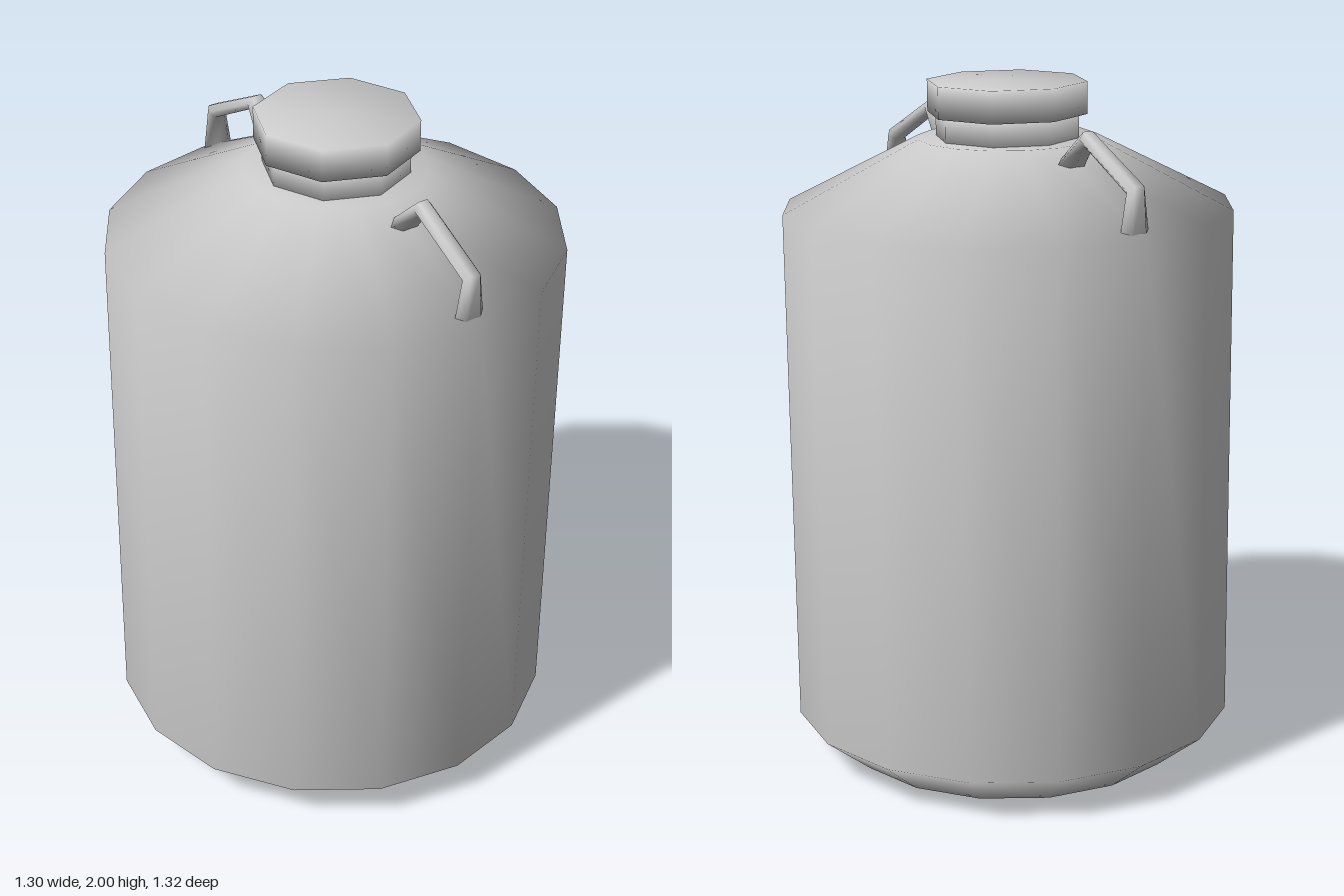
import * as THREE from 'three';

const material = new THREE.MeshStandardMaterial({ color: 0xcccccc });

// Turned part: closed profile of [radius, height] pairs, smooth normals
function turned(name, sides, profile) {
  const points = profile.map(([r, y]) => new THREE.Vector2(r, y));
  const mesh = new THREE.Mesh(new THREE.LatheGeometry(points, sides), material);
  mesh.name = name;
  return mesh;
}

// Bent handle: six-sided sections between an outer and an inner line, flared at both feet
function handleGeometry() {
  const stations = [
    // outer z, y   inner z, y   half width
    { out: [0.622, 1.635], inn: [0.578, 1.635], w: 0.05 },
    { out: [0.622, 1.782], inn: [0.587, 1.757], w: 0.03 },
    { out: [0.39, 1.9], inn: [0.395, 1.86], w: 0.03 },
    { out: [0.287, 1.805], inn: [0.333, 1.785], w: 0.05 },
  ];
  const sides = 6;
  const positions = [];
  const index = [];
  stations.forEach(({ out, inn, w }, i) => {
    for (let k = 0; k < sides; k++) {
      const angle = (k / sides) * Math.PI * 2;
      const t = 0.5 + 0.5 * Math.sin(angle) / Math.sin(Math.PI / 3);
      positions.push(
        w * Math.cos(angle),
        THREE.MathUtils.lerp(inn[1], out[1], t),
        THREE.MathUtils.lerp(inn[0], out[0], t),
      );
      if (i === stations.length - 1) continue;
      const a = i * sides + k;
      const b = i * sides + (k + 1) % sides;
      index.push(a, a + sides, b, b, a + sides, b + sides);
    }
  });
  // Close the two feet
  const last = (stations.length - 1) * sides;
  for (let k = 1; k < sides - 1; k++) {
    index.push(0, k, k + 1, last, last + k + 1, last + k);
  }
  const geometry = new THREE.BufferGeometry();
  geometry.setAttribute('position', new THREE.Float32BufferAttribute(positions, 3));
  geometry.setIndex(index);
  geometry.computeVertexNormals();
  return geometry;
}

export function createModel() {
  const model = new THREE.Group();
  model.name = 'milkCan';

  // The whole can leans forward very slightly
  const can = new THREE.Group();
  can.name = 'can';
  can.rotation.x = 0.016;
  can.position.z = -0.016;
  model.add(can);

  can.add(turned('body', 16, [
    [0, 0.012], [0.51, 0.012], [0.65, 0.125], [0.65, 1.64], [0.26, 1.838], [0, 1.838],
  ]));
  can.add(turned('neck', 8, [[0, 1.82], [0.208, 1.82], [0.208, 1.91], [0, 1.91]]));
  can.add(turned('cap', 8, [[0, 1.906], [0.232, 1.906], [0.232, 1.998], [0, 1.998]]));

  // Front and back handles
  const geometry = handleGeometry();
  [['frontHandle', 0], ['backHandle', Math.PI]].forEach(([name, turn]) => {
    const handle = new THREE.Mesh(geometry, material);
    handle.name = name;
    handle.rotation.y = turn;
    can.add(handle);
  });

  return model;
}
